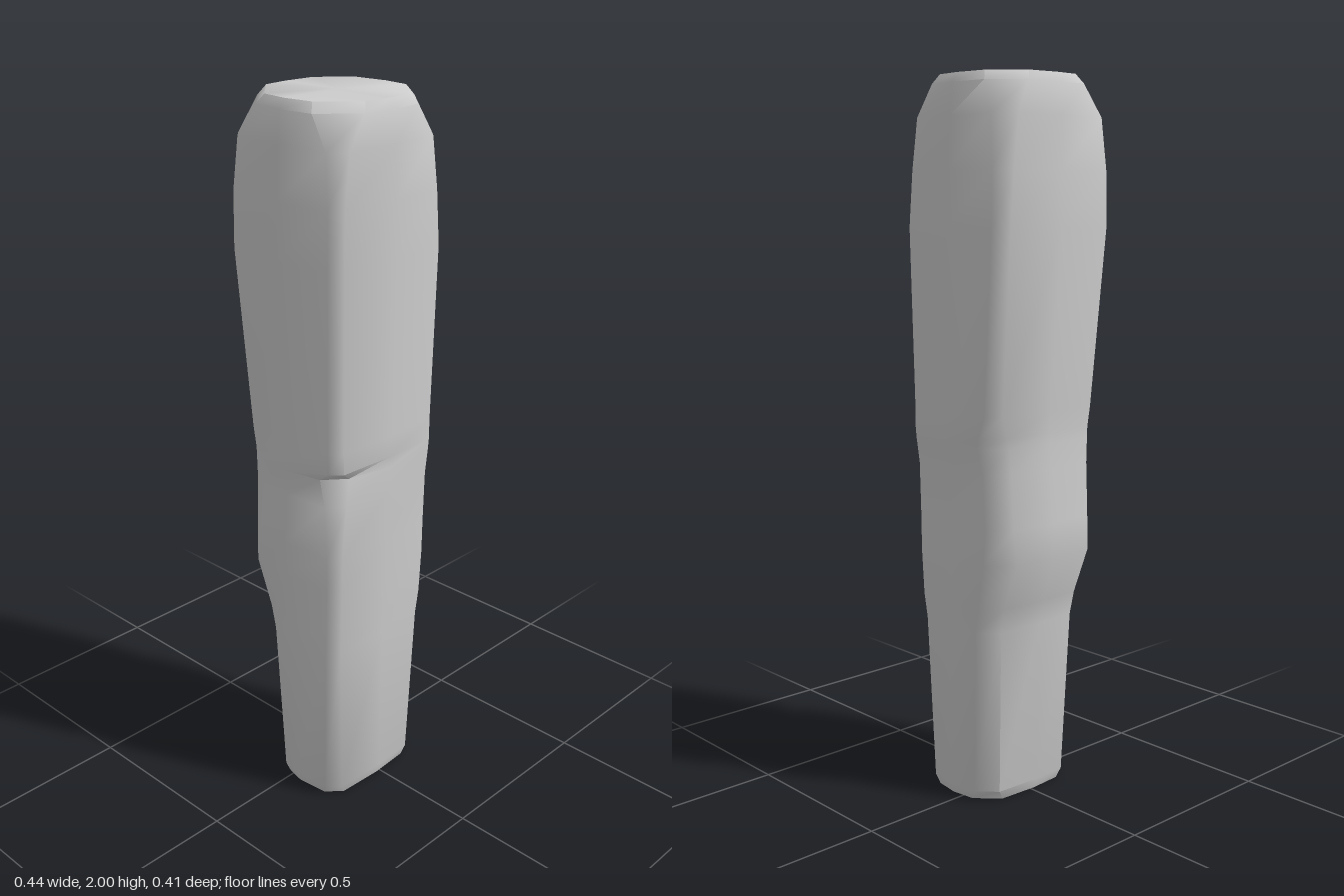
import * as THREE from 'three';
import { toCreasedNormals } from 'three/addons/utils/BufferGeometryUtils.js';

// Cross-sections from bottom to top: y, x min, x max, z min, z max,
// then the corner cuts: front left, back left, back right, front right
const RINGS = [
  [0.00, -0.20, 0.175, -0.10, 0.175, 0.06, 0.06, 0.08, 0.04],
  [0.03, -0.21, 0.185, -0.11, 0.183, 0.06, 0.05, 0.08, 0.035],
  [0.50, -0.22, 0.19, -0.122, 0.192, 0.045, 0.05, 0.07, 0.03],
  [0.57, -0.22, 0.195, -0.138, 0.194, 0.04, 0.05, 0.07, 0.03],
  [0.70, -0.22, 0.20, -0.18, 0.197, 0.04, 0.065, 0.06, 0.03],
  [0.80, -0.22, 0.20, -0.178, 0.198, 0.04, 0.055, 0.06, 0.03],
  [0.95, -0.217, 0.202, -0.17, 0.20, 0.04, 0.055, 0.055, 0.045],
  [1.02, -0.216, 0.212, -0.168, 0.20, 0.04, 0.06, 0.05, 0.07],
  [1.05, -0.217, 0.215, -0.168, 0.20, 0.04, 0.055, 0.05, 0.03],
  [1.11, -0.218, 0.215, -0.172, 0.20, 0.04, 0.035, 0.045, 0.03],
  [1.60, -0.222, 0.22, -0.208, 0.205, 0.035, 0.035, 0.03, 0.03],
  [1.75, -0.22, 0.212, -0.207, 0.205, 0.04, 0.04, 0.03, 0.03],
  [1.89, -0.213, 0.203, -0.203, 0.203, 0.05, 0.05, 0.04, 0.04],
  [1.975, -0.207, 0.195, -0.20, 0.20, 0.10, 0.08, 0.10, 0.09],
  [2.00, -0.19, 0.18, -0.185, 0.185, 0.10, 0.08, 0.10, 0.09],
];

// Chamfered rectangle whose sides bulge a little at the middle
function ringPoints([y, x0, x1, z0, z1, a, b, c, d]) {
  const mx = (x0 + x1) / 2, mz = (z0 + z1) / 2;
  const bx = 0.01, bz = 0.007;
  return [
    [mx, z1], [x1 - bx - a, z1 - bz], [x1 - bx, z1 - bz - a],
    [x1, mz], [x1 - bx, z0 + bz + b], [x1 - bx - b, z0 + bz],
    [mx, z0], [x0 + bx + c, z0 + bz], [x0 + bx, z0 + bz + c],
    [x0, mz], [x0 + bx, z1 - bz - d], [x0 + bx + d, z1 - bz],
  ].map(([x, z]) => [x, y, z]);
}

function stoneGeometry() {
  const rings = RINGS.map(ringPoints);
  const n = rings[0].length, last = rings.length - 1;

  // Front step: the face is set back just under the ledge near its right corner
  const step = { 6: 0.004, 7: 0.02 };
  for (const [i, depth] of Object.entries(step)) {
    rings[i][11][2] -= depth;
    rings[i][10][0] += depth * 0.5;
  }

  const positions = rings.flat(2);
  const index = [];
  for (let i = 0; i < last; i++) {
    for (let j = 0; j < n; j++) {
      const k = (j + 1) % n;
      const a = i * n + j, b = i * n + k, c = a + n, d = b + n;
      index.push(a, b, d, a, d, c);
    }
  }

  // End caps
  const bottom = rings.length * n, top = bottom + 1;
  positions.push(-0.01, 0, 0.04, 0, 2, 0);
  for (let j = 0; j < n; j++) {
    const k = (j + 1) % n;
    index.push(bottom, k, j, top, last * n + j, last * n + k);
  }

  const geometry = new THREE.BufferGeometry();
  geometry.setAttribute('position', new THREE.Float32BufferAttribute(positions, 3));
  geometry.setIndex(index);
  return toCreasedNormals(geometry, 0.87);
}

export function createModel() {
  const group = new THREE.Group();
  group.name = 'standingStone';
  const stone = new THREE.Mesh(
    stoneGeometry(),
    new THREE.MeshStandardMaterial({ color: 0xcccccc })
  );
  stone.name = 'stonePillar';
  group.add(stone);
  return group;
}
